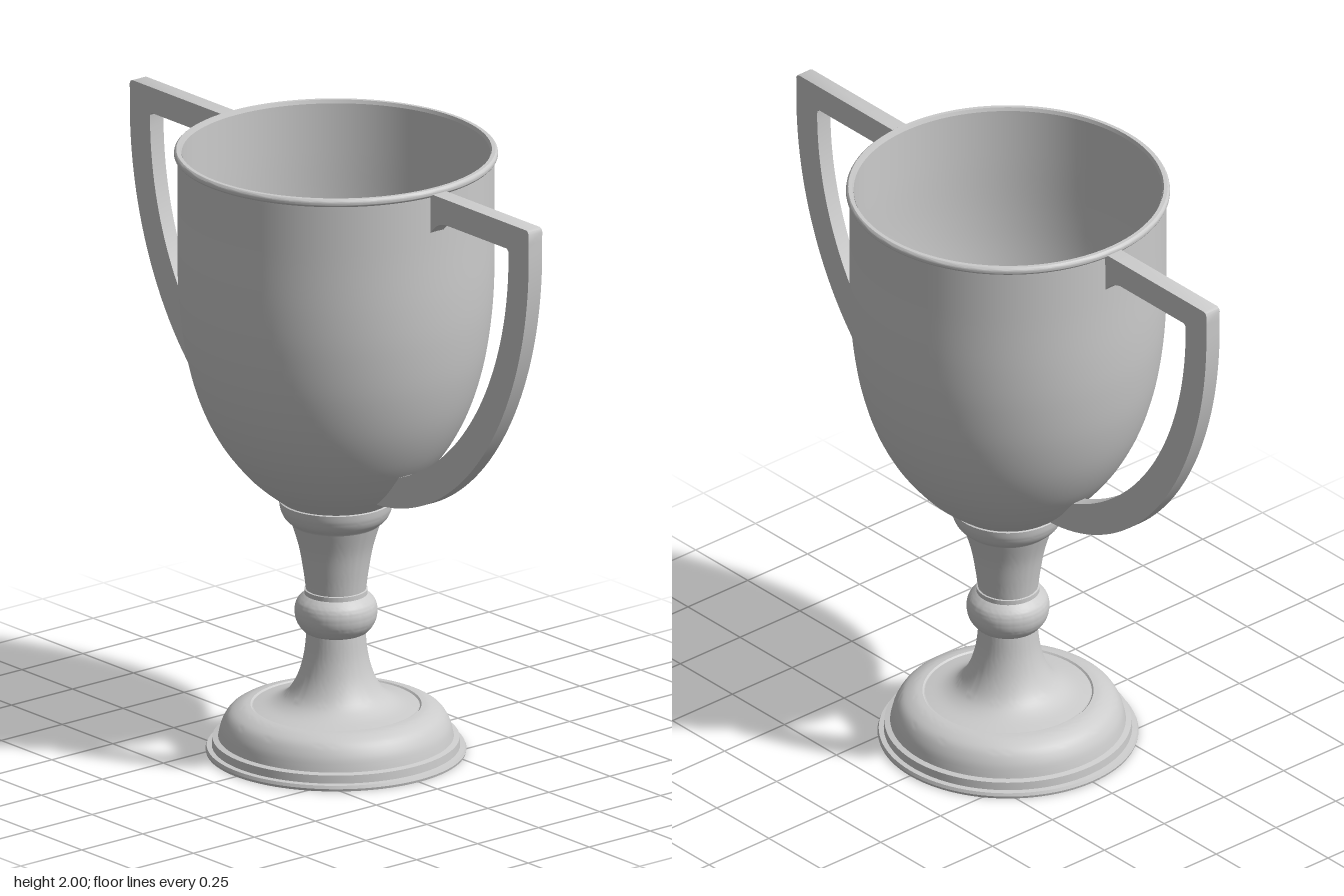
import * as THREE from 'three';
import { toCreasedNormals } from 'three/addons/utils/BufferGeometryUtils.js';

const material = new THREE.MeshStandardMaterial({ color: 0xcccccc, side: THREE.DoubleSide });
const vectors = (pts) => pts.map(([x, y]) => new THREE.Vector2(x, y));

// Smooth curve through a few profile points
const curve = (pts, n = 24) => new THREE.SplineCurve(vectors(pts)).getPoints(n);

// Turned part: smooth around the axis, creased at sharp profile corners
function turned(name, profile) {
  const geometry = toCreasedNormals(new THREE.LatheGeometry(profile, 96), 0.5);
  const mesh = new THREE.Mesh(geometry, material);
  mesh.name = name;
  return mesh;
}

// Points along an ellipse, angles in radians
function ellipse(cx, cy, a, b, from, to, n = 40) {
  return Array.from({ length: n + 1 }, (_, i) => {
    const t = from + ((to - from) * i) / n;
    return new THREE.Vector2(cx + a * Math.cos(t), cy + b * Math.sin(t));
  });
}

function createHandle() {
  // Outer edge sweeps down to the bowl, inner edge sweeps back up
  const outer = ellipse(0.2, 1.9, 0.785, 1.02, 0.04, -1.545);
  const inner = ellipse(0.12, 1.88, 0.765, 0.92, -1.32, 0);
  const outline = [
    ...vectors([[0.488, 1.985], [0.972, 1.985], [0.981, 1.981], [0.985, 1.972]]),
    ...outer,
    ...inner,
    ...vectors([[0.884, 1.892], [0.877, 1.9]]),
    // Flare where the top bar joins the bowl
    ...curve([[0.57, 1.9], [0.535, 1.888], [0.505, 1.862], [0.488, 1.84]], 8),
  ];
  const geometry = new THREE.ExtrudeGeometry(new THREE.Shape(outline), { depth: 0.056, bevelEnabled: false });
  geometry.translate(0, 0, -0.028);
  // Slight narrowing towards the lower end
  const p = geometry.attributes.position;
  for (let i = 0; i < p.count; i++) {
    p.setZ(i, p.getZ(i) * (0.84 + 0.16 * (p.getY(i) - 0.88) / 1.1));
  }
  return new THREE.Mesh(toCreasedNormals(geometry, 0.5), material);
}

export function createModel() {
  const cup = new THREE.Group();
  cup.name = 'trophyCup';

  // Stepped foot with a rounded shoulder
  cup.add(turned('foot', [
    ...vectors([[0, 0], [0.41, 0], [0.412, 0.008], [0.408, 0.018], [0.392, 0.02], [0.39, 0.046], [0.372, 0.05]]),
    ...curve([[0.37, 0.06], [0.36, 0.095], [0.337, 0.13], [0.3, 0.15], [0.27, 0.155]], 16),
    ...vectors([[0.265, 0.15], [0.23, 0.15]]),
  ]));

  // Flared lower stem
  cup.add(turned('lowerStem', curve(
    [[0.262, 0.152], [0.2, 0.166], [0.155, 0.195], [0.122, 0.25], [0.102, 0.32], [0.093, 0.4]])));

  // Round knob with a thin ring above
  cup.add(turned('knob', [
    ...curve([[0.085, 0.395], [0.105, 0.405], [0.125, 0.435], [0.131, 0.47], [0.124, 0.5], [0.104, 0.522]]),
    ...vectors([[0.1, 0.525], [0.1, 0.54], [0.09, 0.543]]),
  ]));

  // Upper stem widening into the collar
  cup.add(turned('upperStem', curve([[0.095, 0.54], [0.103, 0.6], [0.117, 0.68], [0.14, 0.758]], 16)));
  cup.add(turned('collar', [
    ...vectors([[0.12, 0.758], [0.14, 0.758]]),
    ...curve([[0.142, 0.762], [0.163, 0.78], [0.176, 0.808], [0.18, 0.836]], 12),
    ...vectors([[0.17, 0.84]]),
  ]));

  // Hollow bowl
  const wall = curve([[0.17, 0.835], [0.235, 0.885], [0.295, 0.943], [0.368, 1.04],
    [0.427, 1.16], [0.468, 1.3], [0.491, 1.45], [0.5, 1.6], [0.5, 1.8], [0.5, 1.975]], 60);
  const lining = wall.map((v) => new THREE.Vector2(v.x - 0.013, v.y + 0.014)).reverse();
  cup.add(turned('bowl', wall));
  cup.add(turned('bowlInside', [...lining, ...vectors([[0.08, 0.825], [0, 0.82]])]));

  // Rolled rim
  cup.add(turned('rim', [
    ...vectors([[0.5, 1.974]]),
    ...curve([[0.505, 1.975], [0.511, 1.982], [0.51, 1.994], [0.504, 2]], 8),
    ...vectors([[0.492, 2], [0.487, 1.985]]),
  ]));

  // Matching handles on both sides
  for (const side of ['left', 'right']) {
    const handle = createHandle();
    handle.name = side + 'Handle';
    if (side === 'right') handle.rotation.y = Math.PI;
    cup.add(handle);
  }
  return cup;
}
